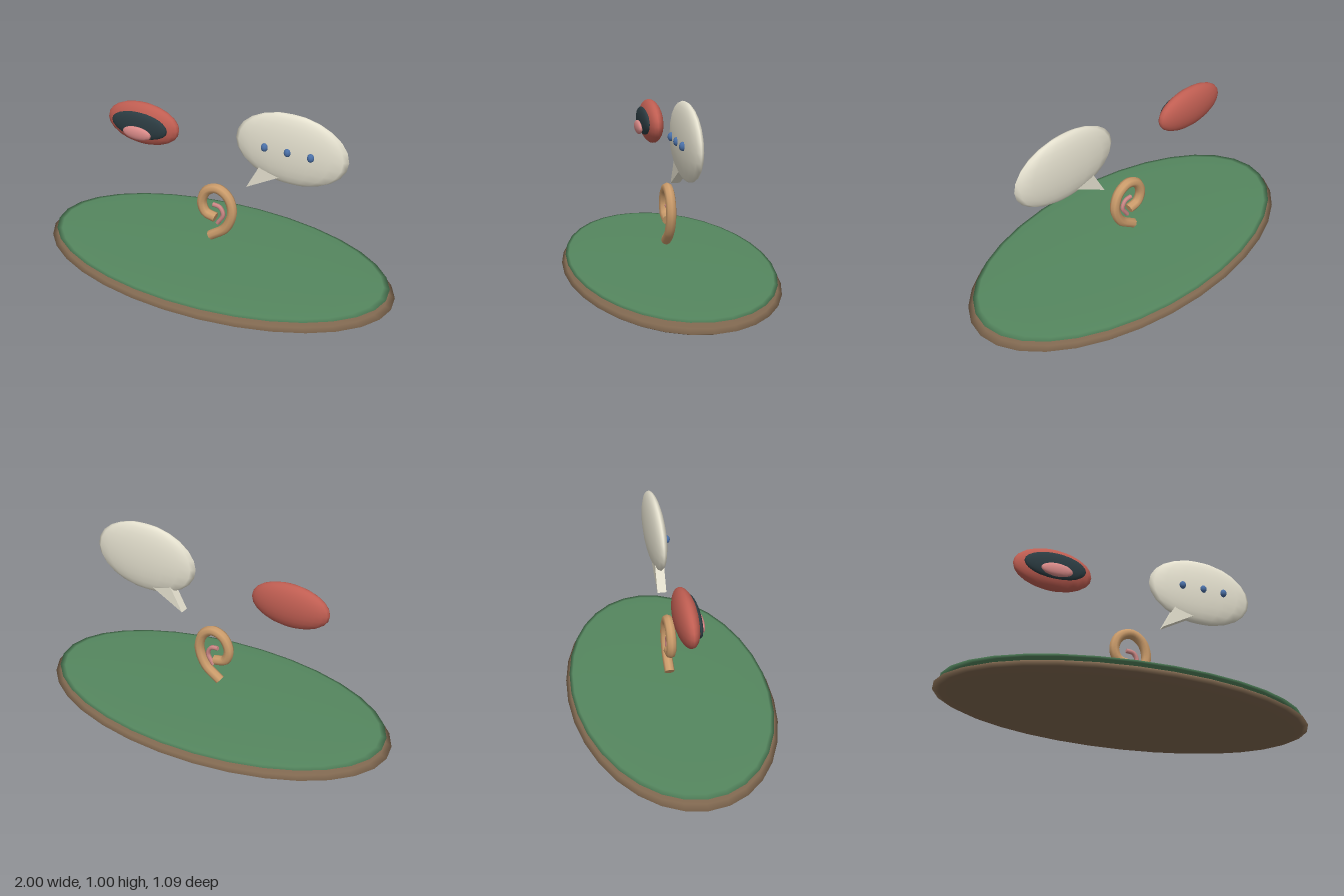
import * as THREE from 'three';

const material = (color) => new THREE.MeshStandardMaterial({ color });

export function createModel() {
  const model = new THREE.Group();

  const add = (name, geometry, color, parent = model) => {
    const mesh = new THREE.Mesh(geometry, material(color));
    mesh.name = name;
    parent.add(mesh);
    return mesh;
  };

  // Smooth ellipsoid with given half-sizes and centre
  const ellipsoid = (name, color, [rx, ry, rz], [x, y, z], sides, rings, parent) => {
    const geometry = new THREE.SphereGeometry(1, sides, rings);
    geometry.scale(rx, ry, rz);
    add(name, geometry, color, parent).position.set(x, y, z);
  };

  // Round tube through flat points, closed by end discs
  const tube = (name, color, points, radius, steps, sides, parent) => {
    const curve = new THREE.CatmullRomCurve3(points.map(([x, y]) => new THREE.Vector3(x, y, 0)));
    add(name, new THREE.TubeGeometry(curve, steps, radius, sides), color, parent);
    for (const t of [0, 1]) {
      const cap = add(name + 'Cap', new THREE.CircleGeometry(radius, sides), color, parent);
      const outward = curve.getTangent(t).multiplyScalar(t ? 1 : -1);
      cap.position.copy(curve.getPoint(t));
      cap.quaternion.setFromUnitVectors(new THREE.Vector3(0, 0, 1), outward);
    }
  };

  const group = (name) => {
    const g = new THREE.Group();
    g.name = name;
    model.add(g);
    return g;
  };

  // Oval base with a grassy top
  const base = group('base');
  ellipsoid('earth', 0x806850, [1, 0.055, 0.545], [0, 0.06, 0], 32, 12, base);
  ellipsoid('grass', 0x55875f, [0.97, 0.015, 0.525], [0, 0.105, 0], 32, 12, base);

  // Ear: curled outer rim and small inner fold
  const ear = group('ear');
  tube('earRim', 0xcb9c6b, [
    [-0.03, 0.2], [0.06, 0.27], [0.098, 0.37], [0.073, 0.455], [0.012, 0.491],
    [-0.052, 0.465], [-0.082, 0.395], [-0.06, 0.335], [0, 0.317],
  ], 0.027, 40, 8, ear);
  tube('earFold', 0xd08a88, [
    [-0.015, 0.392], [0.025, 0.385], [0.045, 0.345], [0.012, 0.285],
  ], 0.012, 16, 6, ear);

  // Open mouth: lips, dark opening, tongue
  const mouth = group('mouth');
  ellipsoid('lips', 0xc05e52, [0.215, 0.117, 0.057], [-0.43, 0.77, 0], 24, 12, mouth);
  ellipsoid('mouthOpening', 0x2c3c42, [0.168, 0.074, 0.024], [-0.43, 0.773, 0.043], 20, 12, mouth);
  ellipsoid('tongue', 0xd98a88, [0.086, 0.037, 0.018], [-0.43, 0.738, 0.07], 16, 10, mouth);

  // Speech bubble with three dots and a wedge tail
  const bubble = group('speechBubble');
  ellipsoid('bubbleBody', 0xe6e2d0, [0.305, 0.19, 0.047], [0.4225, 0.816, 0], 16, 12, bubble);
  for (const x of [0.298, 0.4225, 0.546]) {
    ellipsoid('bubbleDot', 0x4a70a8, [0.018, 0.022, 0.018], [x, 0.818, 0.045], 12, 8, bubble);
  }
  const tail = new THREE.Shape([
    new THREE.Vector2(0.19, 0.56),
    new THREE.Vector2(0.42, 0.685),
    new THREE.Vector2(0.28, 0.727),
  ]);
  const tailGeometry = new THREE.ExtrudeGeometry(tail, { depth: 0.048, bevelEnabled: false });
  tailGeometry.translate(0, 0, -0.024);
  add('bubbleTail', tailGeometry, 0xe6e2d0, bubble);

  return model;
}
